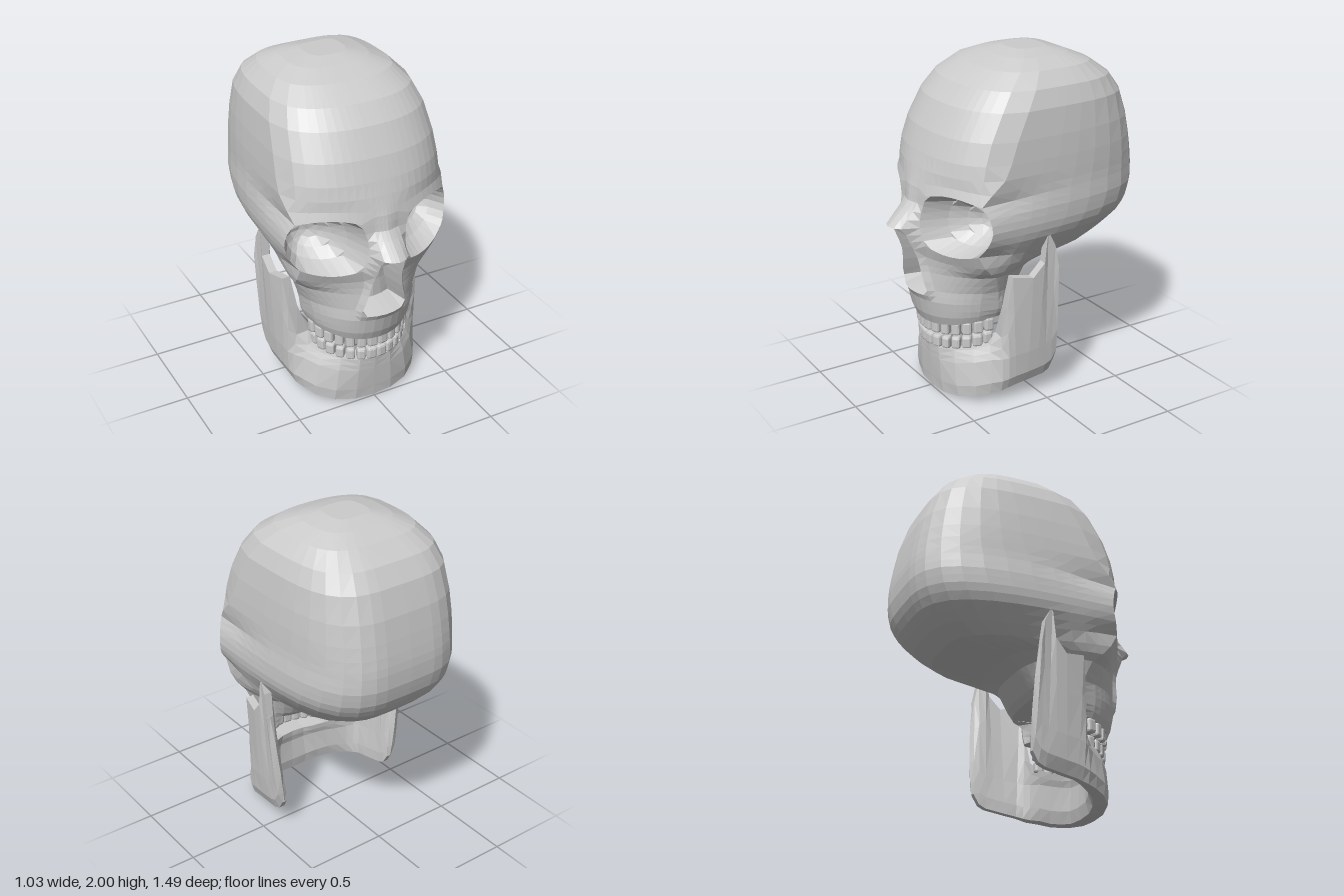
import * as THREE from 'three';
import { RoundedBoxGeometry } from 'three/addons/geometries/RoundedBoxGeometry.js';

const { lerp, smoothstep, degToRad, clamp } = THREE.MathUtils;
const bone = new THREE.MeshStandardMaterial({ color: 0xcccccc, flatShading: true, side: THREE.DoubleSide });

// Skull levels: y, front z, z of the widest point, back z, half width, roundness of the front
const LEVELS = [
  [0.46, 0.55, 0.24, 0.2, 0.315, 2.1], [0.52, 0.575, 0.24, 0.18, 0.33, 2.1],
  [0.62, 0.6, 0.24, 0.1, 0.35, 2], [0.69, 0.605, 0.25, 0.03, 0.365, 1.8],
  [0.8, 0.605, 0.29, -0.04, 0.405, 1.6], [0.84, 0.61, 0.34, -0.15, 0.435, 1.4],
  [0.88, 0.615, 0.37, -0.48, 0.455, 1.3], [0.94, 0.625, 0.385, -0.59, 0.48, 1.25],
  [1.02, 0.64, 0.38, -0.675, 0.505, 1.2], [1.1, 0.64, 0.365, -0.72, 0.515, 1.2],
  [1.2, 0.62, 0.365, -0.74, 0.515, 1.25], [1.29, 0.605, 0.37, -0.74, 0.505, 1.45],
  [1.35, 0.585, 0.32, -0.735, 0.5, 1.8], [1.45, 0.555, 0.26, -0.72, 0.497, 2.3],
  [1.6, 0.5, 0.2, -0.69, 0.485, 2.4], [1.75, 0.42, 0.12, -0.64, 0.465, 2.4],
  [1.85, 0.33, 0.05, -0.57, 0.425, 2.5], [1.93, 0.2, -0.02, -0.46, 0.35, 2.6],
  [1.975, 0.07, -0.08, -0.35, 0.24, 2.8], [2, -0.03, -0.13, -0.25, 0.12, 3],
];
const NOSE_WIDTH = [[0.69, 0.11], [0.8, 0.08], [0.9, 0.06], [1.06, 0.045]];
const NOSE_BUMP = [[0.62, 0], [0.66, 0.02], [0.72, 0.035], [0.9, 0.035], [1.03, 0.075], [1.075, 0.115], [1.13, 0.05], [1.2, 0]];
const EYE = { y: 1.115, ry: 0.178, depth: 0.24 };

// Linear look-up in a table sorted by its first column
function sample(table, v) {
  let i = 0;
  while (i < table.length - 2 && v > table[i + 1][0]) i++;
  const a = table[i], b = table[i + 1];
  const f = clamp((v - a[0]) / (b[0] - a[0]), 0, 1);
  return a.map((n, k) => lerp(n, b[k], f));
}

// Surface through rows of [x, y, z] points, mirrored to the other side
function mirroredSurface(rows, name, flip = false) {
  const group = new THREE.Group();
  group.name = name;
  const n = rows[0].length, pts = rows.flat();
  const dist = (a, b) => Math.hypot(...pts[a].map((v, k) => v - pts[b][k]));
  for (const side of [1, -1]) {
    const index = [];
    const add = (a, b, c) => ((side > 0) !== flip ? index.push(a, b, c) : index.push(a, c, b));
    for (let i = 0; i < rows.length - 1; i++) {
      for (let j = 0; j < n - 1; j++) {
        const a = i * n + j, b = a + 1, c = a + n, d = c + 1;
        // Split along the shorter diagonal
        if (dist(a, d) < dist(b, c)) { add(a, b, d); add(a, d, c); }
        else { add(a, b, c); add(b, d, c); }
      }
    }
    const geo = new THREE.BufferGeometry();
    const pos = pts.flatMap(([x, y, z]) => [x * side, y, z]);
    geo.setAttribute('position', new THREE.Float32BufferAttribute(pos, 3));
    geo.setIndex(index);
    geo.computeVertexNormals();
    const mesh = new THREE.Mesh(geo, bone);
    mesh.name = name + (side > 0 ? 'Left' : 'Right');
    group.add(mesh);
  }
  return group;
}

function frontZ(x, y) {
  const [, zf, zs, , w, p] = sample(LEVELS, y);
  const t = Math.min(1, x / w);
  return zs + (zf - zs) * Math.pow(1 - Math.pow(t, p), 1 / (1 + (p - 1) * 0.7));
}

// Front point with the square patch of the grid rounded into an eye socket; a runs -1..1 across it
function eyePoint(a, y, inner, outer) {
  const cx = (inner + outer) / 2, rx = (outer - inner) / 2;
  const b = (y - EYE.y) / EYE.ry;
  const m = Math.max(Math.abs(a), Math.abs(b));
  let s = 1;
  if (m > 0 && m < 1.5) {
    s = lerp(1, m / Math.hypot(a, b), lerp(1, 0.6, Math.min(1, m)));
    if (m > 1) s = lerp(s, 1, (m - 1) / 0.5);
  }
  const px = cx + a * s * rx, py = EYE.y + b * s * EYE.ry;
  let z = frontZ(px, py);
  if (m < 0.99) z -= EYE.depth * Math.pow(1 - m * m, 0.85);
  else if (m < 1.1) z += 0.012;
  return [px, py, z];
}

// Horseshoe inside of the upper jaw, open to the back
function palatePoints(y, w) {
  const r = 0.235 - 0.045 * Math.pow((y - 0.46) / 0.16, 2);
  const pts = [[w, y, 0.215], [w - 0.01, y, 0.195], [w - 0.04, y, 0.185]];
  for (let k = 0; k <= 8; k++) {
    const a = (1 - k / 8) * Math.PI / 2;
    pts.push([k === 8 ? 0 : r * Math.sin(a), y, 0.2 + r * Math.cos(a)]);
  }
  return pts;
}

// Side and back of the braincase; the first points follow the eye rim
function backPoints(y, w, zs, zb, rim) {
  const e = 2 / lerp(3.3, 4, smoothstep(y, 0.9, 1.3));
  return [1, 3, 6, 12, 20, 30, 42, 55, 68, 78, 84, 90].map((deg, k) => {
    const r = degToRad(deg), follow = [0.65, 0.35, 0.15][k] ?? 0;
    const z = zs - (zs - zb) * Math.pow(Math.sin(r), e);
    const narrow = 0.14 * (1 - smoothstep(y, 0.8, 1.1)) * (1 - smoothstep(z, -0.1, 0.3));
    const x = deg === 90 ? 0 : w * Math.pow(Math.cos(r), e) * (1 - narrow);
    return [x + (rim[0] - w) * follow, y + (rim[1] - y) * follow, z];
  });
}

// Half outline of the skull at one height, from the front middle to the back middle
function skullRow(y) {
  const [, , zs, zb, w] = sample(LEVELS, y);
  const f = Math.min(1, w / 0.3);
  const nose = sample(NOSE_WIDTH, y)[1], bump = sample(NOSE_BUMP, y)[1];
  const cavity = y > 0.68 && y < 1.04 ? 0.14 : 0;
  const row = [0, nose / 2, nose, nose + 0.03].map((x, k) =>
    [x * f, y, frontZ(x * f, y) + (k < 3 && cavity ? -cavity : bump * (k < 3 ? 1 : 0.85))]);
  const start = Math.max(0.115, nose + 0.055) * f;
  for (let k = -4; k <= 4; k++) row.push(eyePoint(k / 4, y, start, w));
  const back = y < 0.64 ? palatePoints(y, w) : backPoints(y, w, zs, zb, row[row.length - 1]);
  // The lower edge of the upper jaw climbs towards the back
  const lift = 0.055 * Math.max(0, (0.57 - y) / 0.11);
  return [...row, ...back].map(([px, py, pz]) => [px, py + lift * clamp((0.55 - pz) / 0.32, 0, 1), pz]);
}

function buildSkull() {
  const ys = [0.46, 0.52, 0.57, 0.62, 0.655, 0.69, 0.74, 0.8, 0.84, 0.88];
  for (let j = 0; j <= 8; j++) ys.push(EYE.y + EYE.ry * (j / 4 - 1));
  ys.push(1.34, 1.4, 1.48, 1.6, 1.75, 1.85, 1.93, 1.975, 2);
  const rows = ys.map(skullRow);
  // Gum ridge closing the horseshoe below, flat crown above
  const gum = rows[0].map(([x, y, z]) => {
    const a = Math.atan2(x, Math.max(0, z - 0.21));
    return [0.275 * Math.sin(a), y - 0.005, 0.21 + 0.3 * Math.cos(a)];
  });
  const crown = rows[rows.length - 1].map(([, , z]) => [0, 2, z]);
  return mirroredSurface([gum, ...rows, crown], 'skull');
}

// Jaw stations: lower edge x z y, upper edge x z y, facing angle, thickness
const JAW = [
  [0, 0.49, 0, 0, 0.51, 0.29, 0, 0.12], [0.12, 0.485, 0.005, 0.1, 0.5, 0.29, 10, 0.12],
  [0.24, 0.45, 0.02, 0.2, 0.45, 0.3, 35, 0.12], [0.33, 0.38, 0.04, 0.28, 0.37, 0.32, 60, 0.11],
  [0.37, 0.31, 0.06, 0.335, 0.29, 0.35, 76, 0.1], [0.395, 0.25, 0.07, 0.385, 0.245, 0.41, 84, 0.08],
  [0.4, 0.21, 0.08, 0.43, 0.232, 0.6, 88, 0.06], [0.405, 0.17, 0.09, 0.455, 0.21, 0.8, 90, 0.05],
  [0.41, 0.1, 0.1, 0.48, 0.09, 0.78, 90, 0.05], [0.415, 0.04, 0.11, 0.49, 0.02, 0.86, 90, 0.05],
  [0.42, -0.02, 0.12, 0.49, 0, 1.05, 90, 0.05], [0.42, -0.06, 0.14, 0.495, -0.045, 0.96, 90, 0.05],
  [0.42, -0.095, 0.2, 0.5, -0.07, 0.82, 90, 0.045],
];

function buildJaw() {
  const sections = JAW.map(([xb, zb, yb, xt, zt, yt, deg, th]) => {
    const dx = Math.sin(degToRad(deg)), dz = Math.cos(degToRad(deg));
    const at = (f, out) => [
      deg === 0 ? 0 : lerp(xb, xt, f) + dx * out, lerp(yb, yt, f), lerp(zb, zt, f) + dz * out];
    // Heights of the two lower lines run level from the chin to the angle of the jaw
    const f1 = 0.07 / (yt - yb), f2 = 0.21 / (yt - yb), f3 = (f2 + 1) / 2;
    return [at(0, 0), at(f1, 0.022 * dx), at(f2, 0.022 * dx), at(f3, 0.012 * dx), at(1, 0), at(1, -th),
      at(f3, -th * 0.95), at(f2, -th * 0.85), at(f1, -th * 0.85), at(0, -th * 0.7), at(0, 0)];
  });
  // Close the back edge of the upright branch, bowed slightly backwards
  const last = sections[sections.length - 1];
  sections.push(last.map(([, y, z]) => {
    const f = (y - 0.2) / 0.62;
    return [lerp(0.41, 0.48, f), y, z - 0.005 - 0.06 * f * (1 - f)];
  }));
  return mirroredSurface(sections, 'lowerJaw', true);
}

// A curved row of teeth; rise lifts the back ones
function buildTeeth(name, rx, rz, zc, y, height, rise) {
  const group = new THREE.Group();
  group.name = name;
  for (const side of [1, -1]) {
    [0.062, 0.054, 0.05, 0.052, 0.056, 0.058, 0.056].forEach((width, i) => {
      const a = ((i + 0.5) / 7) * Math.PI * 0.49;
      const tooth = new THREE.Mesh(new RoundedBoxGeometry(width, height, 0.055, 1, 0.014), bone);
      tooth.name = 'tooth';
      tooth.position.set(side * rx * Math.sin(a), y + rise * (1 - Math.cos(a)), zc + rz * Math.cos(a));
      tooth.rotation.y = side * a;
      group.add(tooth);
    });
  }
  return group;
}

export function createModel() {
  const model = new THREE.Group();
  model.name = 'skullModel';
  model.add(
    buildSkull(),
    buildJaw(),
    buildTeeth('upperTeeth', 0.29, 0.285, 0.232, 0.435, 0.085, 0.04),
    buildTeeth('lowerTeeth', 0.276, 0.272, 0.235, 0.335, 0.075, 0.05),
  );
  return model;
}
